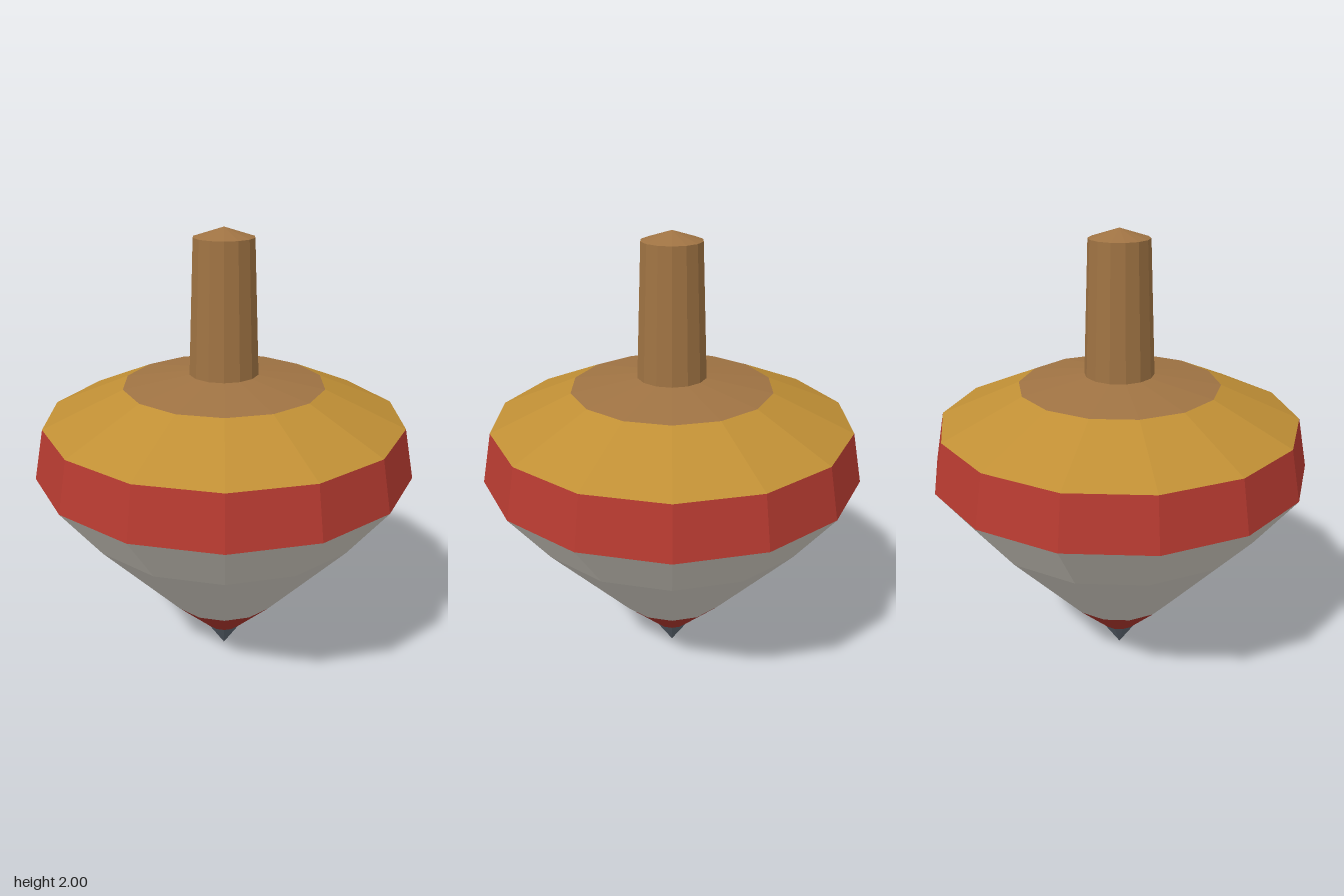
import * as THREE from 'three';

const SIDES = 14;

// One band of the turned body; profile points [radius, height] run from bottom to top
function band(name, color, profile) {
  const points = profile.map(([r, y]) => new THREE.Vector2(r, y));
  const geometry = new THREE.LatheGeometry(points, SIDES, Math.PI / 2);
  const material = new THREE.MeshStandardMaterial({ color, flatShading: true });
  const mesh = new THREE.Mesh(geometry, material);
  mesh.name = name;
  return mesh;
}

export function createModel() {
  const group = new THREE.Group();
  group.name = 'spinningTop';

  // Rings shared by neighbouring bands
  const tipRing = [0.085, 0.13];
  const lowerRing = [0.26, 0.305];
  const rimBottom = [0.825, 0.98];
  const rimTop = [0.78, 1.2];
  const shoulder = [0.435, 1.35];
  const stemBase = [0.15, 1.395];

  group.add(
    band('metalTip', 0x5c6570, [[0, 0], tipRing]),
    band('lowerRedBand', 0xa8352b, [tipRing, lowerRing]),
    band('body', 0xcbc6bc, [lowerRing, [0.645, 0.74], rimBottom]),
    band('redRim', 0xb53a30, [rimBottom, rimTop]),
    band('yellowShoulder', 0xc08f35, [rimTop, shoulder]),
    band('woodenCollar', 0x9f7343, [shoulder, stemBase]),
    band('stem', 0x9f7343, [stemBase, [0.128, 1.96], [0, 2]])
  );
  return group;
}
